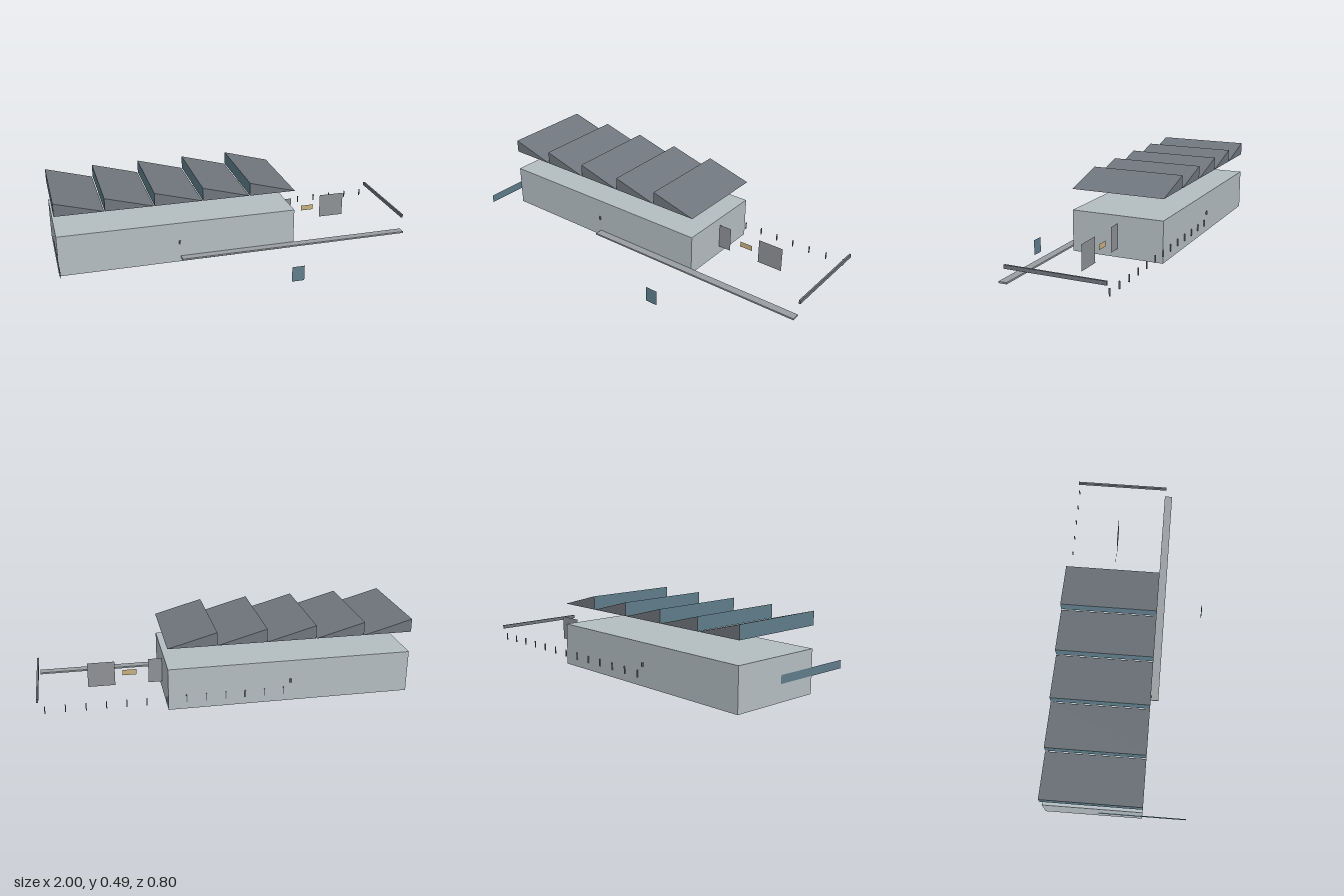
import * as THREE from 'three';

export function createModel() {
  const model = new THREE.Group();
  model.name = 'factory';

  const mat = (color) => new THREE.MeshStandardMaterial({ color, side: THREE.DoubleSide, flatShading: true });
  const wall = mat(0xb4bec2), roof = mat(0x70767d), glass = mat(0x5f7d8b);
  const steel = mat(0x70757c), concrete = mat(0x9a9ea2), panel = mat(0x8f9296), tan = mat(0xc8b080);

  // Box given by its lower and upper corners
  function block(name, material, [x0, y0, z0], [x1, y1, z1], parent = model) {
    const mesh = new THREE.Mesh(new THREE.BoxGeometry(x1 - x0, y1 - y0, z1 - z0), material);
    mesh.name = name;
    mesh.position.set((x0 + x1) / 2, (y0 + y1) / 2, (z0 + z1) / 2);
    parent.add(mesh);
    return mesh;
  }

  // Flat sheet from a loop of corners
  function sheet(name, material, corners, parent = model) {
    const geo = new THREE.BufferGeometry();
    geo.setAttribute('position', new THREE.Float32BufferAttribute(corners.flat(), 3));
    geo.setIndex(corners.length === 4 ? [0, 1, 2, 0, 2, 3] : [0, 1, 2]);
    geo.computeVertexNormals();
    const mesh = new THREE.Mesh(geo, material);
    mesh.name = name;
    parent.add(mesh);
  }

  // Upright sheet facing the front
  const frontSheet = (name, material, x0, x1, y0, y1, z) =>
    sheet(name, material, [[x0, y0, z], [x1, y0, z], [x1, y1, z], [x0, y1, z]]);

  const back = -0.394, front = 0.133;

  // Main hall
  block('hall', wall, [-0.997, 0.072, back], [0.32, 0.302, front]);

  // Sawtooth roof: open below, glazed on the upright side
  const low = 0.418, high = 0.49, pitch = 0.2645;
  for (let i = 0; i < 5; i++) {
    const tooth = new THREE.Group();
    tooth.name = 'roofTooth' + (i + 1);
    const a = -0.998 + i * pitch, b = a + 0.26;
    sheet('roofSlope', roof, [[a, high, front], [b, low, front], [b, low, back], [a, high, back]], tooth);
    sheet('roofGlazing', glass, [[a, low, back], [a, low, front], [a, high, front], [a, high, back]], tooth);
    sheet('gableFront', roof, [[a, low, front], [b, low, front], [a, high, front]], tooth);
    sheet('gableBack', roof, [[b, low, back], [a, low, back], [a, high, back]], tooth);
    model.add(tooth);
  }

  // Loading platform along the front
  block('platform', concrete, [-0.335, 0.096, front], [0.985, 0.105, 0.178]);

  // Cross beams, one through the hall and one outside
  for (const x of [-0.338, 0.99]) {
    block('crossBeam', steel, [x - 0.005, 0.177, -0.402], [x + 0.005, 0.197, 0.139]);
  }

  // Row of short posts along the back
  for (let i = 0; i < 13; i++) {
    const x = -0.3 + i * 0.1047;
    block('post', steel, [x - 0.0025, 0.112, -0.4], [x + 0.0025, 0.152, -0.394]);
  }

  // Thin partitions and sign board
  frontSheet('innerPartition', panel, 0.25, 0.395, 0.118, 0.257, -0.132);
  frontSheet('outerPartition', panel, 0.578, 0.725, 0.118, 0.257, -0.132);
  frontSheet('board', tan, 0.46, 0.536, 0.172, 0.203, -0.132);

  // Window strip by the end wall and door sheet in front
  sheet('windowStrip', glass, [[-1, 0.165, -0.1], [-1, 0.165, 0.366], [-1, 0.209, 0.366], [-1, 0.209, -0.1]]);
  frontSheet('door', glass, 0.22, 0.291, 0, 0.088, 0.4);

  return model;
}
